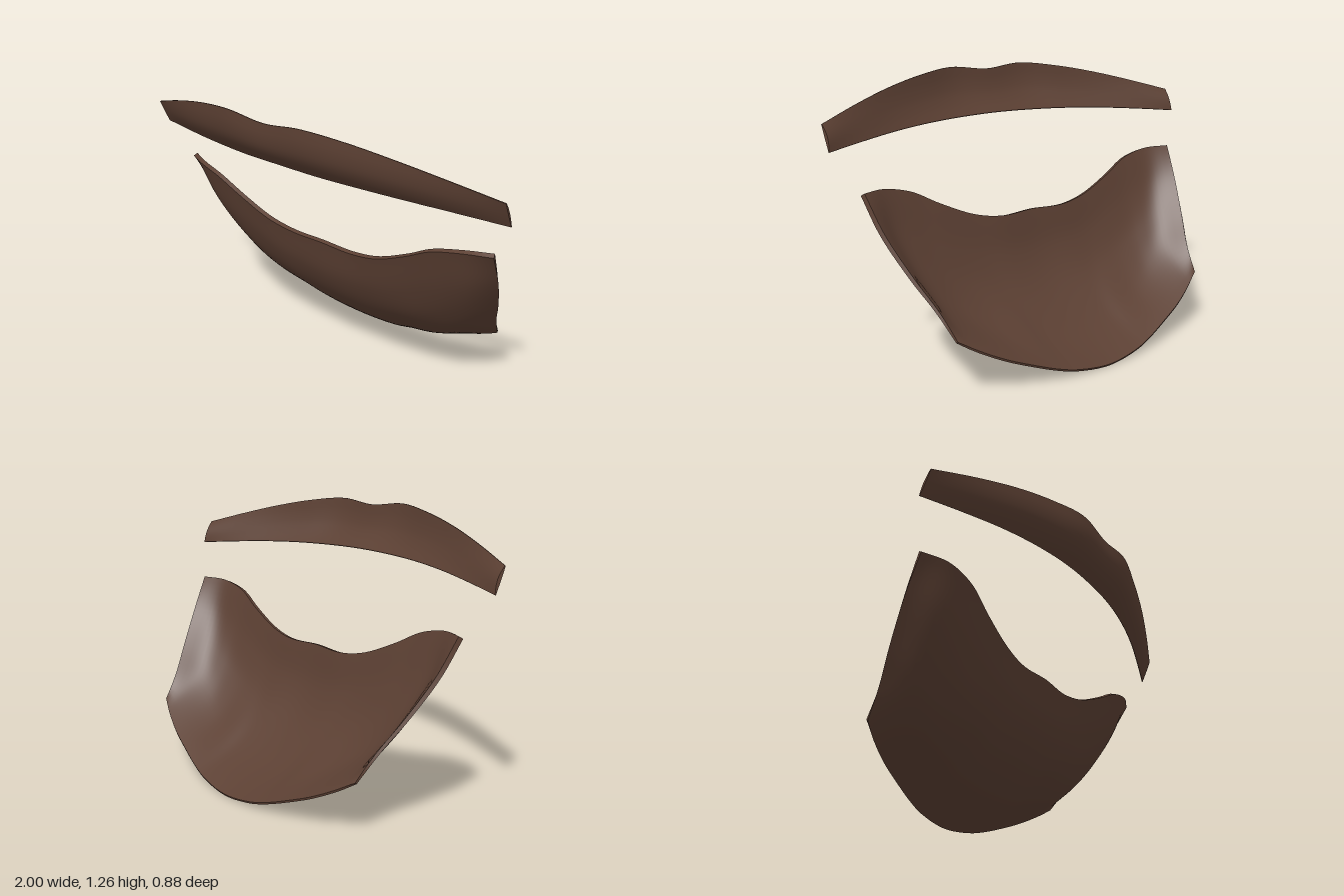
import * as THREE from 'three';

// Mirrors half-columns (centre to +x side), then splines them into a smooth grid of points.
function sampleSheet(half, nu, nv) {
  const right = half.map(col => col.map(p => new THREE.Vector3(...p)));
  const left = right.slice(1).reverse().map(col => col.map(p => new THREE.Vector3(-p.x, p.y, p.z)));
  const cols = [...left, ...right];
  const rows = half[0].map((_, r) => new THREE.CatmullRomCurve3(cols.map(c => c[r])));
  const grid = [];
  for (let i = 0; i <= nu; i++) {
    const curve = new THREE.CatmullRomCurve3(rows.map(r => r.getPoint(i / nu)));
    for (let j = 0; j <= nv; j++) grid.push(curve.getPoint(j / nv));
  }
  return grid;
}

// Closed thin shell: outer face, offset inner face and a rim with hard edges.
function shell(half, nu, nv, thickness) {
  const outer = sampleSheet(half, nu, nv);
  const id = (i, j) => i * (nv + 1) + j;
  const index = [];
  for (let i = 0; i < nu; i++) {
    for (let j = 0; j < nv; j++) {
      const a = id(i, j), b = id(i, j + 1), c = id(i + 1, j + 1), d = id(i + 1, j);
      index.push(a, b, c, a, c, d);
    }
  }
  const face = new THREE.BufferGeometry().setFromPoints(outer);
  face.setIndex(index);
  face.computeVertexNormals();
  const n = new THREE.Vector3();
  const inner = outer.map((p, k) => {
    n.fromBufferAttribute(face.attributes.normal, k);
    return p.clone().addScaledVector(n, -thickness(( k % (nv + 1)) / nv));
  });

  const points = [...outer, ...inner];
  const all = [...index];
  for (let k = 0; k < index.length; k += 3) {
    all.push(index[k] + outer.length, index[k + 2] + outer.length, index[k + 1] + outer.length);
  }
  // Each border run goes counter-clockwise as seen from the front
  const runs = [[], [], [], []];
  for (let j = 0; j <= nv; j++) { runs[0].push(id(0, j)); runs[2].push(id(nu, nv - j)); }
  for (let i = 0; i <= nu; i++) { runs[1].push(id(i, nv)); runs[3].push(id(nu - i, 0)); }
  for (const run of runs) {
    const s = points.length;
    run.forEach(k => points.push(outer[k], inner[k]));
    for (let k = 0; k < run.length - 1; k++) {
      const a = s + 2 * k;
      all.push(a, a + 1, a + 3, a, a + 3, a + 2);
    }
  }
  const g = new THREE.BufferGeometry().setFromPoints(points);
  g.setIndex(all);
  g.computeVertexNormals();
  return g;
}

export function createModel() {
  const group = new THREE.Group();
  group.name = 'facialHair';
  const hair = new THREE.MeshStandardMaterial({ color: 0x5c4033, side: THREE.DoubleSide });
  hair.name = 'dark brown';

  // Beard columns, top edge to bottom edge, from the chin centre out to the cheek
  const beardColumns = [
    [[0, 0.615, 0.108], [0, 0.43, 0.06], [0, 0.28, -0.03], [0, 0.125, -0.2], [0, 0.002, -0.435]],
    [[0.18, 0.61, 0.103], [0.19, 0.44, 0.056], [0.19, 0.285, -0.035], [0.185, 0.135, -0.2], [0.18, 0.022, -0.425]],
    [[0.33, 0.637, 0.113], [0.33, 0.46, 0.06], [0.31, 0.31, -0.025], [0.29, 0.165, -0.185], [0.28, 0.048, -0.41]],
    [[0.5, 0.708, 0.128], [0.49, 0.52, 0.07], [0.47, 0.36, -0.01], [0.44, 0.21, -0.155], [0.41, 0.095, -0.385]],
    [[0.64, 0.778, 0.142], [0.64, 0.58, 0.075], [0.61, 0.415, -0.01], [0.57, 0.275, -0.125], [0.53, 0.145, -0.36]],
    [[0.78, 0.81, 0.13], [0.775, 0.635, 0.06], [0.73, 0.465, -0.035], [0.68, 0.335, -0.135], [0.645, 0.205, -0.325]],
    [[0.9, 0.812, 0.082], [0.873, 0.66, -0.01], [0.812, 0.49, -0.125], [0.757, 0.37, -0.21], [0.715, 0.25, -0.295]],
  ];
  const beard = new THREE.Mesh(shell(beardColumns, 64, 28, v => 0.022 - 0.012 * v), hair);
  beard.name = 'beard';
  group.add(beard);

  // Moustache stations: x, top y, top z, bottom y, bottom z, forward bulge
  const stations = [
    [0, 1.246, 0.435, 1.045, 0.345, 0.034],
    [0.2, 1.264, 0.435, 1.042, 0.338, 0.036],
    [0.4, 1.243, 0.39, 1.036, 0.31, 0.03],
    [0.6, 1.205, 0.335, 1.025, 0.265, 0.022],
    [0.8, 1.155, 0.267, 1.009, 0.205, 0.012],
    [1, 1.098, 0.19, 0.99, 0.14, 0.001],
  ];
  const moustacheColumns = stations.map(([x, ty, tz, by, bz, bulge]) =>
    [0, 0.25, 0.5, 0.75, 1].map(t => {
      const b = bulge * Math.sin(Math.PI * t);
      return [x, ty + (by - ty) * t - b * 0.4, tz + (bz - tz) * t + b * 0.9];
    }));
  const moustache = new THREE.Mesh(shell(moustacheColumns, 56, 12, v => 0.004 + 0.012 * Math.sin(Math.PI * v)), hair);
  moustache.name = 'moustache';
  group.add(moustache);

  return group;
}
